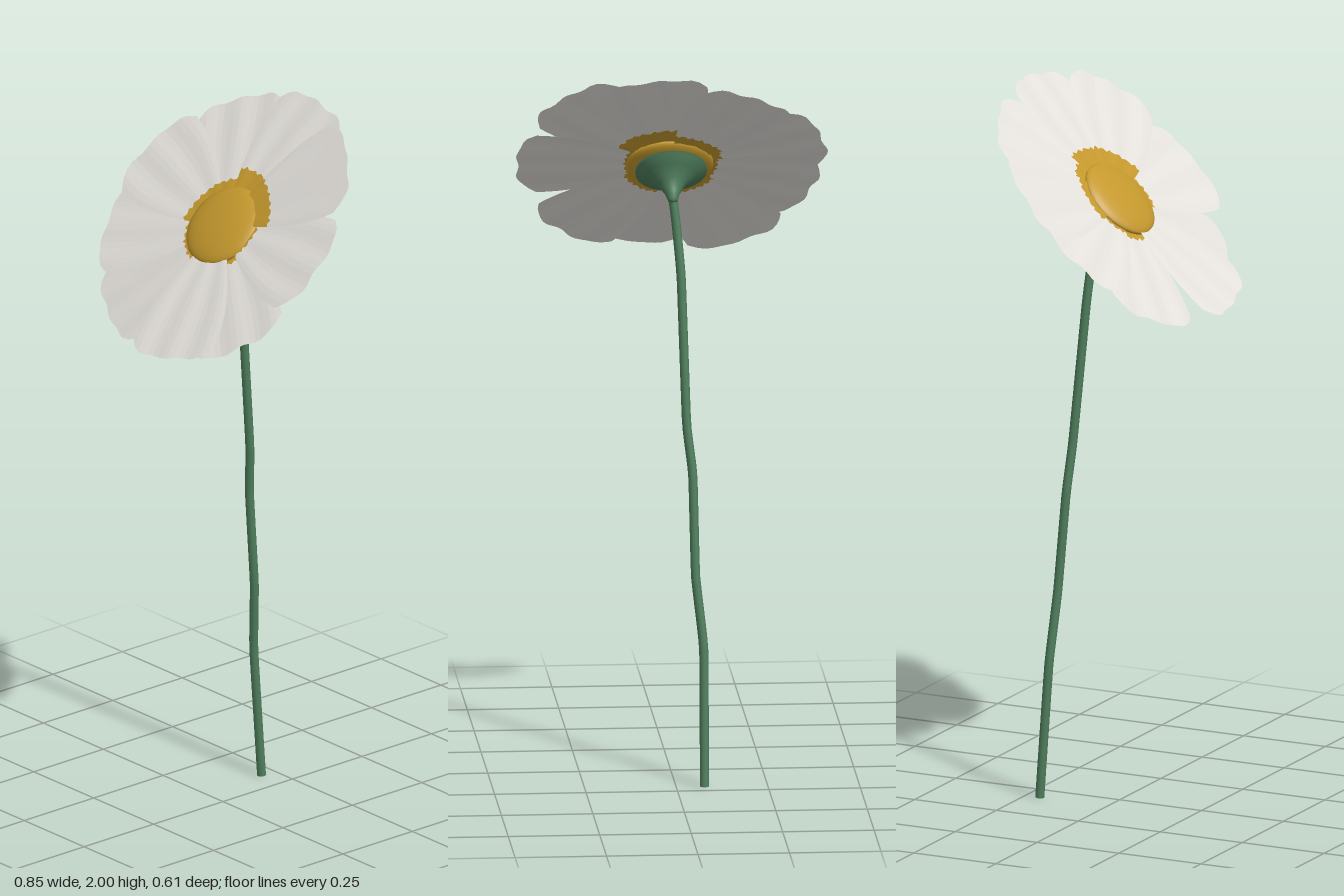
import * as THREE from 'three';

const white = new THREE.MeshStandardMaterial({ name: 'petalWhite', color: 0xe4e1dc, side: THREE.DoubleSide, flatShading: true });
const gold = new THREE.MeshStandardMaterial({ name: 'pollenGold', color: 0xc4982d, side: THREE.DoubleSide });
const green = new THREE.MeshStandardMaterial({ name: 'stemGreen', color: 0x4f7f5d, side: THREE.DoubleSide });

// angle (degrees, seen from the front), length, tip height, radius of the gold base
const PETALS = [
  [80, 0.425, 0.006, 0.17], [122, 0.415, -0.014, 0.148], [163, 0.425, 0.004, 0.14],
  [198, 0.41, -0.008, 0.126], [238, 0.412, -0.03, 0.13], [285, 0.422, 0.011, 0.115],
  [314, 0.412, -0.024, 0.13], [358, 0.42, 0.02, 0.126], [44, 0.425, 0.036, 0.16],
];
const COLS = 16;

// sheet between two radius rules; u runs across the petal from -1 to 1
function petalSheet(inner, outer, rows, tip) {
  const pos = [], index = [];
  for (let i = 0; i <= rows; i++) {
    for (let j = 0; j <= COLS; j++) {
      const u = (j / COLS) * 2 - 1;
      const s = THREE.MathUtils.lerp(inner(u), outer(u), i / rows);
      const half = 0.147 * Math.sin((s / 0.38) * Math.PI / 2);
      const pleat = 0.0016 * Math.cos(u * 8) * Math.min(1, s / 0.3);
      const rise = tip * (0.25 + 0.75 * Math.max(0, (s - 0.08) / 0.34));
      pos.push(s, rise + pleat - 0.002, -u * half);
      if (i < rows && j < COLS) {
        const a = i * (COLS + 1) + j, b = a + COLS + 1;
        index.push(a, b, a + 1, a + 1, b, b + 1);
      }
    }
  }
  const geo = new THREE.BufferGeometry();
  geo.setAttribute('position', new THREE.Float32BufferAttribute(pos, 3));
  geo.setIndex(index);
  geo.computeVertexNormals();
  return geo;
}

function makePetal([angle, length, tip, goldRadius], k) {
  const petal = new THREE.Group();
  petal.name = 'petal';
  const start = () => 0.05;
  const ragged = (u) => goldRadius - 0.016 * u * u + 0.005 * Math.sin(u * 19 + k * 2);
  const end = (u) => length * (1 - 0.13 * Math.abs(u) ** 4.5) + 0.004 * Math.sin(u * 9 + k * 1.7) - 0.002;
  const base = new THREE.Mesh(petalSheet(start, ragged, 3, tip), gold);
  base.name = 'petalBase';
  const blade = new THREE.Mesh(petalSheet(ragged, end, 8, tip), white);
  blade.name = 'petalBlade';
  petal.add(base, blade);
  petal.rotation.y = THREE.MathUtils.degToRad(angle);
  return petal;
}

export function createModel() {
  const flower = new THREE.Group();
  flower.name = 'flower';

  // head, tilted halfway between up and forward
  const head = new THREE.Group();
  head.name = 'flowerHead';
  head.position.set(0, 1.697, 0);
  head.rotation.x = Math.PI / 4;
  PETALS.forEach((p, k) => head.add(makePetal(p, k)));

  // shallow domed centre
  const disc = new THREE.Mesh(new THREE.SphereGeometry(0.12, 32, 16), gold);
  disc.name = 'centreDisc';
  disc.scale.y = 0.22;
  disc.position.set(0.003, -0.002, 0.001);
  head.add(disc);

  // flared cup behind the petals
  const cupProfile = [[0, -0.122], [0.013, -0.118], [0.02, -0.095], [0.038, -0.065], [0.07, -0.042], [0.098, -0.026], [0.098, -0.018], [0, -0.014]];
  const cup = new THREE.Mesh(new THREE.LatheGeometry(cupProfile.map(([r, y]) => new THREE.Vector2(r, y)), 24), green);
  cup.name = 'calyx';
  head.add(cup);
  flower.add(head);

  // gently kinked stem
  const path = new THREE.CatmullRomCurve3([
    [-0.077, 0, -0.205], [-0.077, 0.38, -0.177], [-0.056, 0.58, -0.161], [-0.05, 0.86, -0.138],
    [-0.034, 1.0, -0.126], [-0.022, 1.4, -0.09], [-0.01, 1.54, -0.076], [0, 1.625, -0.07],
  ].map((p) => new THREE.Vector3(...p)), false, 'catmullrom', 0.15);
  const stem = new THREE.Mesh(new THREE.TubeGeometry(path, 48, 0.0125, 10), green);
  stem.name = 'stem';
  const foot = new THREE.Mesh(new THREE.CircleGeometry(0.0125, 10), green);
  foot.name = 'stemEnd';
  foot.rotation.x = Math.PI / 2;
  foot.position.set(-0.077, 0.0005, -0.205);
  flower.add(stem, foot);

  return flower;
}
